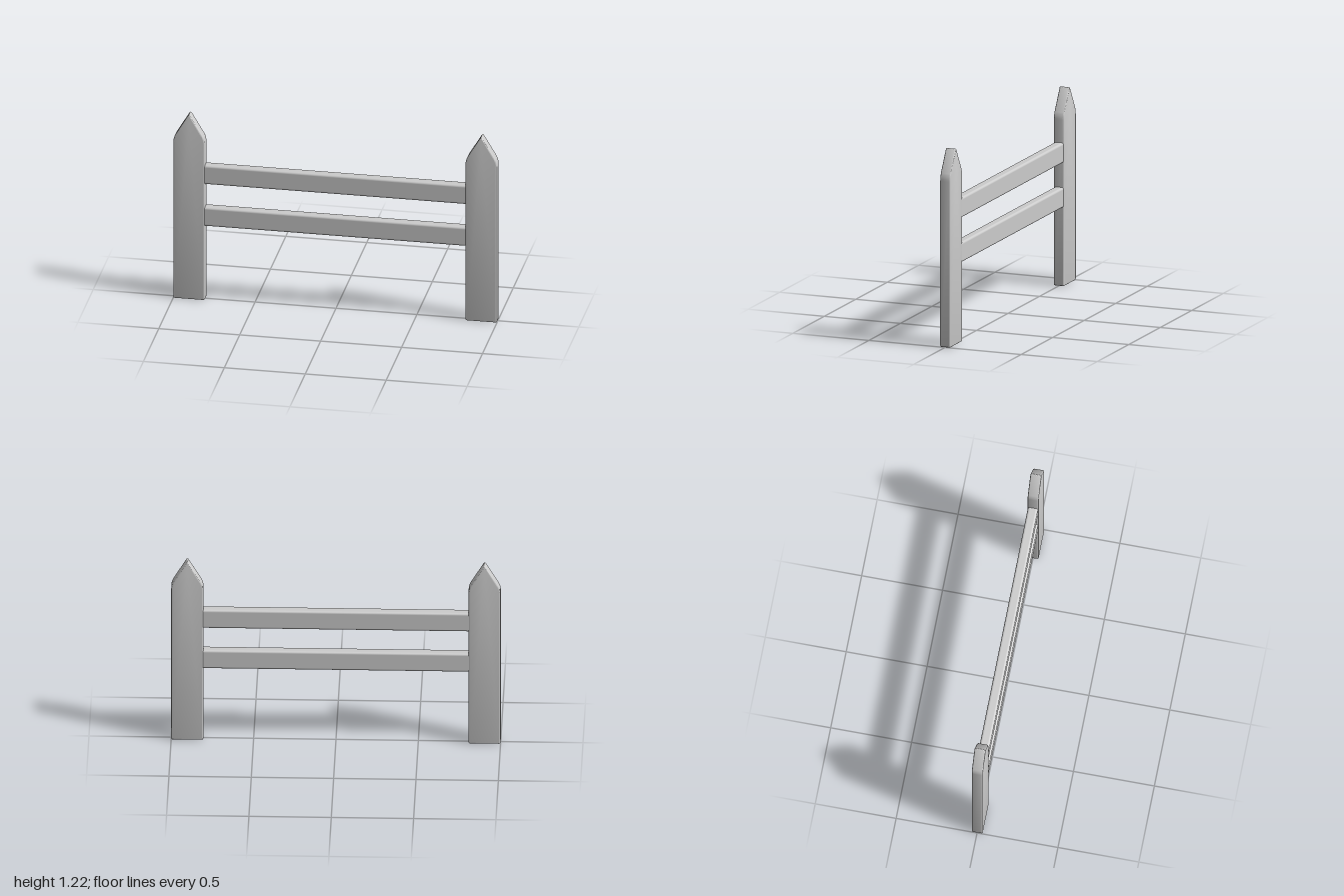
import * as THREE from 'three';
import { toCreasedNormals } from 'three/addons/utils/BufferGeometryUtils.js';
import { RoundedBoxGeometry } from 'three/addons/geometries/RoundedBoxGeometry.js';

// Closed outline whose corners [x, y, cut] are softened by a curve starting `cut` before the corner
function roundedOutline(corners) {
  const shape = new THREE.Shape();
  const n = corners.length;
  corners.forEach(([x, y, cut], i) => {
    const p = new THREE.Vector2(x, y);
    const toward = ([qx, qy]) =>
      new THREE.Vector2(qx, qy).sub(p).setLength(cut).add(p);
    const a = toward(corners[(i + n - 1) % n]);
    const b = toward(corners[(i + 1) % n]);
    if (i === 0) shape.moveTo(a.x, a.y);
    else shape.lineTo(a.x, a.y);
    shape.quadraticCurveTo(x, y, b.x, b.y);
  });
  shape.closePath();
  return shape;
}

export function createModel() {
  const group = new THREE.Group();
  const material = new THREE.MeshStandardMaterial({ color: 0xcccccc });

  const half = 0.0975; // half the post width
  const depth = 0.068;
  const bevel = 0.008;

  // Pointed post with softened edges
  const outline = roundedOutline([
    [-half, 0, 0.01],
    [half, 0, 0.01],
    [half, 1.063, 0.03],
    [0, 1.226, 0.015],
    [-half, 1.063, 0.03],
  ]);
  const extruded = new THREE.ExtrudeGeometry(outline, {
    depth: depth - 2 * bevel,
    bevelEnabled: true,
    bevelThickness: bevel,
    bevelSize: bevel,
    bevelOffset: -bevel,
    bevelSegments: 3,
    curveSegments: 6,
  });
  extruded.translate(0, 0, bevel - depth / 2);
  const postGeometry = toCreasedNormals(extruded, 0.6);

  for (const [name, side] of [['leftPost', 1], ['rightPost', -1]]) {
    const post = new THREE.Mesh(postGeometry, material);
    post.name = name;
    post.position.x = side * (1 - half);
    group.add(post);
  }

  // Two rails, their ends buried in the posts
  const railGeometry = new RoundedBoxGeometry(1.68, 0.125, 0.062, 4, 0.014);
  for (const [name, y] of [['lowerRail', 0.553], ['upperRail', 0.831]]) {
    const rail = new THREE.Mesh(railGeometry, material);
    rail.name = name;
    rail.position.y = y;
    group.add(rail);
  }

  return group;
}
